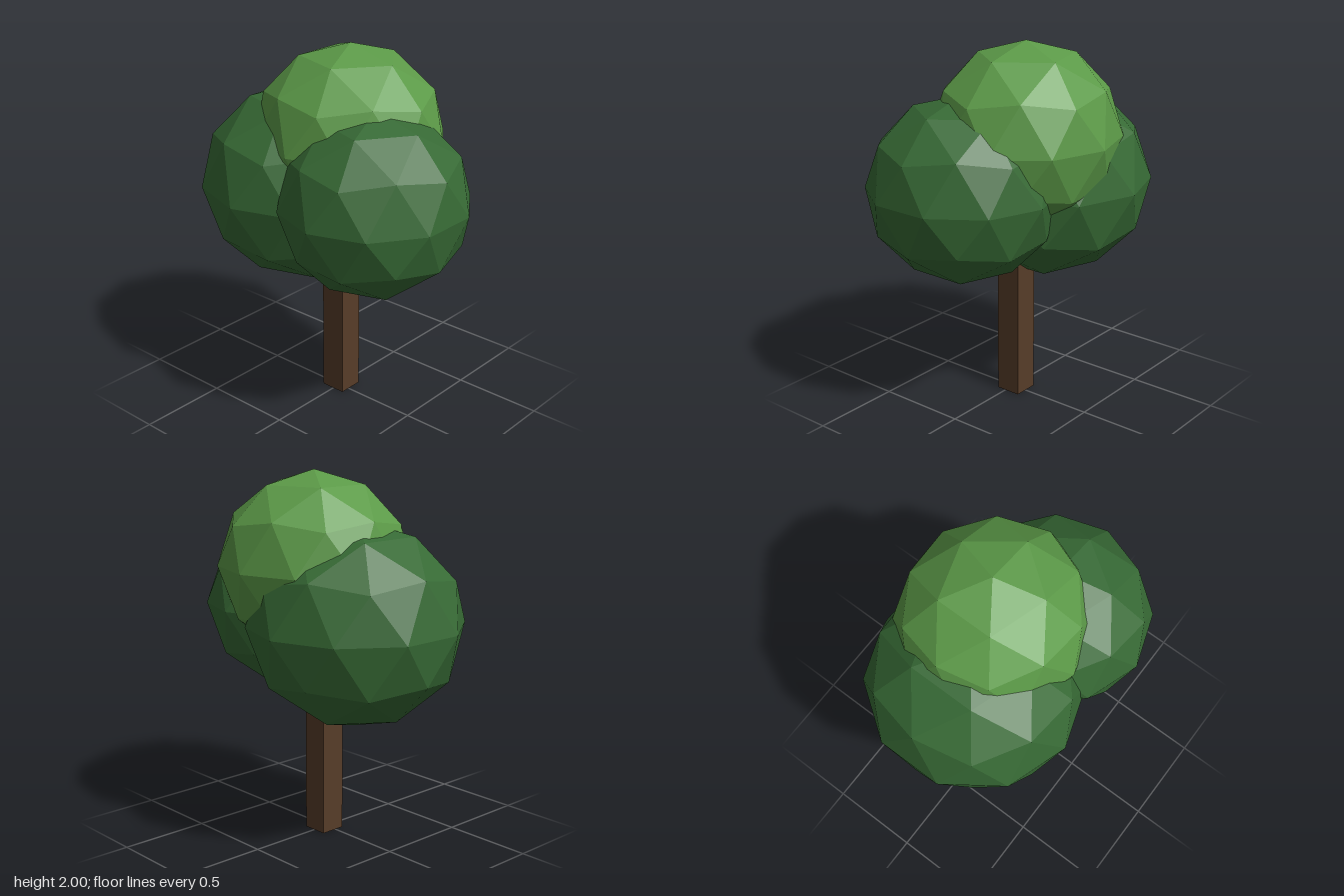
import * as THREE from 'three';

const darkLeaf = new THREE.MeshStandardMaterial({ color: 0x376a35 });
const lightLeaf = new THREE.MeshStandardMaterial({ color: 0x5c9a48 });
const bark = new THREE.MeshStandardMaterial({ color: 0x573c28 });
darkLeaf.name = 'dark leaf green';
lightLeaf.name = 'light leaf green';
bark.name = 'bark brown';

// Faceted leaf ball: an 80-sided icosphere with a corner at the top
function leafBall(name, material, center, radii) {
  const geometry = new THREE.IcosahedronGeometry(1, 1);
  geometry.rotateZ(-Math.atan2(2, 1 + Math.sqrt(5))); // corner to the pole
  geometry.scale(...radii);
  geometry.computeVertexNormals(); // unshared corners give flat facets
  const mesh = new THREE.Mesh(geometry, material);
  mesh.name = name;
  mesh.position.set(...center);
  return mesh;
}

export function createModel() {
  const tree = new THREE.Group();
  tree.name = 'tree';

  // Square trunk, its top hidden inside the foliage
  const trunkHeight = 1.1;
  const trunk = new THREE.Mesh(new THREE.BoxGeometry(0.143, trunkHeight, 0.143), bark);
  trunk.name = 'trunk';
  trunk.position.set(-0.003, trunkHeight / 2, -0.018);

  // Three overlapping balls of foliage
  tree.add(
    trunk,
    leafBall('rightFoliage', darkLeaf, [-0.255, 1.205, -0.022], [0.573, 0.55, 0.588]),
    leafBall('leftFoliage', darkLeaf, [0.315, 1.243, 0.082], [0.5, 0.5, 0.525]),
    leafBall('topFoliage', lightLeaf, [0, 1.5, -0.087], [0.525, 0.5, 0.503])
  );
  return tree;
}
